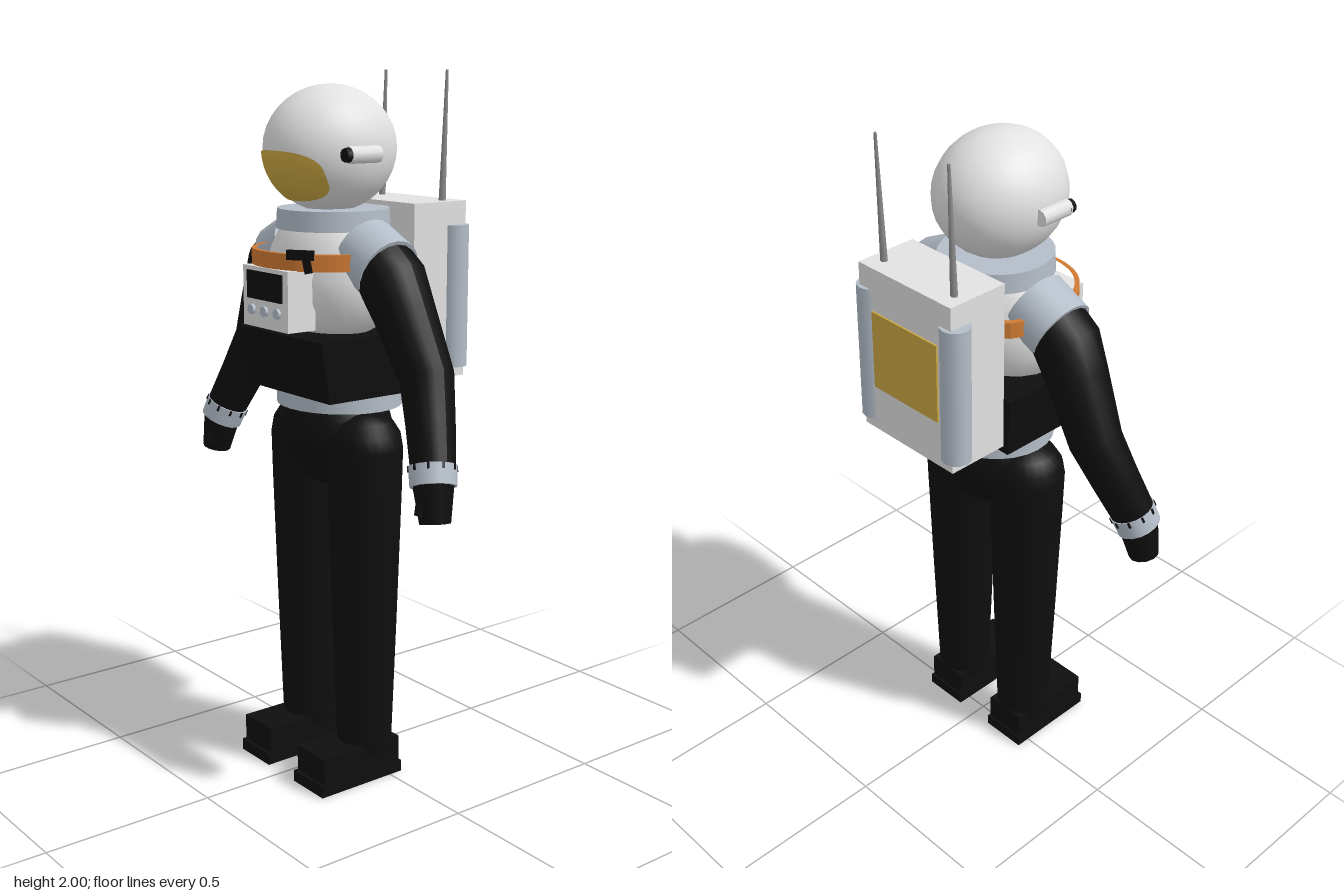
import * as THREE from 'three';

const mat = (name, color) => {
  const m = new THREE.MeshStandardMaterial({ color });
  m.name = name;
  return m;
};
const V = (x, y, z) => new THREE.Vector3(x, y, z);

// Smooth skin of round sections through a list of [x, y, z, radius]; the first direction can be given
function loft(stations, firstDir, sides = 18) {
  const pts = stations.map(s => V(s[0], s[1], s[2]));
  const pos = [], idx = [], n = sides + 1;
  pts.forEach((p, i) => {
    const t = i === 0 && firstDir ? firstDir.clone()
      : pts[Math.min(i + 1, pts.length - 1)].clone().sub(pts[Math.max(i - 1, 0)]);
    t.normalize();
    const u = V(0, 0, 1).cross(t).normalize();
    const v = t.clone().cross(u);
    for (let j = 0; j < n; j++) {
      const a = j / sides * Math.PI * 2, r = stations[i][3];
      const q = p.clone().addScaledVector(u, r * Math.cos(a)).addScaledVector(v, r * Math.sin(a));
      pos.push(q.x, q.y, q.z);
      if (i && j) {
        const c = i * n + j, b = c - n;
        idx.push(b - 1, b, c - 1, b, c, c - 1);
      }
    }
  });
  const g = new THREE.BufferGeometry();
  g.setAttribute('position', new THREE.Float32BufferAttribute(pos, 3));
  g.setIndex(idx);
  g.computeVertexNormals();
  return g;
}

export function createModel() {
  const root = new THREE.Group();
  root.name = 'astronaut';
  const white = mat('white shell', 0xe2e2e2);
  const grey = mat('blue grey trim', 0xb4bdc8);
  const black = mat('black fabric', 0x0e0e0e);
  const orange = mat('orange strap', 0xd07a33);
  const gold = mat('gold', 0xcca843);
  const metal = mat('dull metal', 0x8c8c8c);

  const add = (name, geo, material, x = 0, y = 0, z = 0) => {
    const m = new THREE.Mesh(geo, material);
    m.name = name;
    m.position.set(x, y, z);
    root.add(m);
    return m;
  };
  const box = (name, w, h, d, material, x, y, z) =>
    add(name, new THREE.BoxGeometry(w, h, d), material, x, y, z);
  const ball = (name, rx, ry, rz, material, x, y, z) =>
    add(name, new THREE.SphereGeometry(1, 24, 18).scale(rx, ry, rz), material, x, y, z);
  // Cylinder running from a to b
  const rod = (name, a, b, ra, rb, material, sides = 16) => {
    const d = b.clone().sub(a);
    const m = add(name, new THREE.CylinderGeometry(rb, ra, d.length(), sides), material);
    m.position.copy(a).add(b).multiplyScalar(0.5);
    m.quaternion.setFromUnitVectors(V(0, 1, 0), d.normalize());
    return m;
  };
  const lathe = pairs => new THREE.LatheGeometry(pairs.map(p => new THREE.Vector2(p[0], p[1])), 24);

  // Helmet and neck ring
  const H = V(0.17, 0.172, 0.191), hy = 1.792, hz = 0.06;
  ball('helmet', H.x, H.y, H.z, white, 0, hy, hz);
  add('neckRing', new THREE.CylinderGeometry(0.155, 0.158, 0.055, 28), grey, 0, 1.605, 0.05);

  // Visor: rounded patch laid just over the helmet
  const visor = new THREE.RingGeometry(0.001, 1, 32, 8);
  const vp = visor.attributes.position;
  for (let i = 0; i < vp.count; i++) {
    const a = Math.atan2(vp.getY(i), vp.getX(i)), r = Math.hypot(vp.getX(i), vp.getY(i));
    const sq = c => Math.sign(c) * Math.pow(Math.abs(c), 0.7);
    const y = -0.067 + 0.067 * r * sq(Math.sin(a));
    const x = 0.125 * r * sq(Math.cos(a)) * (1 + (y + 0.067) * 1.2);
    const z = H.z * Math.sqrt(Math.max(0, 1 - (x / H.x) ** 2 - (y / H.y) ** 2));
    vp.setXYZ(i, x * 1.015, y * 1.015, z * 1.015 + 0.001);
  }
  visor.computeVertexNormals();
  add('visor', visor, gold, 0, hy, hz);

  // Chest, abdomen, waist ring and pelvis
  const chest = lathe([[0.01, 1.29], [0.13, 1.3], [0.185, 1.33], [0.211, 1.39], [0.213, 1.45],
    [0.195, 1.52], [0.165, 1.575], [0.13, 1.605], [0.01, 1.61]]);
  add('chest', chest.scale(1, 1, 0.76), white, 0, 0, 0.06);
  const abdomen = new THREE.BoxGeometry(0.4, 0.17, 0.335);
  const ap = abdomen.attributes.position;
  for (let i = 0; i < ap.count; i++) {
    if (ap.getY(i) < 0) ap.setXYZ(i, ap.getX(i) * 0.96, ap.getY(i), Math.min(ap.getZ(i), 0.135));
  }
  abdomen.computeVertexNormals();
  add('abdomen', abdomen, black, 0, 1.215, 0.073);
  add('waistRing', new THREE.CylinderGeometry(0.187, 0.187, 0.045, 28).scale(1, 1, 0.92),
    [grey, grey, white], 0, 1.108, 0.03);
  ball('pelvis', 0.17, 0.16, 0.152, black, 0, 1.005, 0.037);

  // Chest control panel
  box('controlPanel', 0.21, 0.165, 0.09, white, 0, 1.4, 0.235);
  box('screen', 0.162, 0.076, 0.006, black, 0, 1.433, 0.282);
  for (const x of [-0.06, 0, 0.06]) {
    rod('knob', V(x, 1.365, 0.275), V(x, 1.365, 0.289), 0.014, 0.014, grey, 12);
  }

  // Strap around the chest, with buckle
  const half = [[0.09, 0.258], [0.15, 0.215], [0.198, 0.14], [0.205, 0.02], [0.165, -0.093]];
  const loop = [[0, 0.276], ...half, ...half.slice().reverse().map(p => [-p[0], p[1]])];
  const outline = k => new THREE.CatmullRomCurve3(
    loop.map(p => V(p[0] * k, 0.08 + (p[1] - 0.08) * k, 0)), true).getPoints(48)
    .map(p => new THREE.Vector2(p.x, p.y));
  const strap = new THREE.Shape(outline(1));
  strap.holes.push(new THREE.Path(outline(0.93)));
  add('strap', new THREE.ExtrudeGeometry(strap, { depth: 0.045, bevelEnabled: false }).rotateX(Math.PI / 2),
    orange, 0, 1.526, 0);
  box('buckle', 0.075, 0.026, 0.014, black, 0.115, 1.525, 0.246).rotation.y = 0.6;
  const tail = box('buckleTail', 0.02, 0.055, 0.014, black, 0.132, 1.505, 0.237);
  tail.rotation.set(0, 0.7, 0.2);

  // Backpack
  box('backpack', 0.35, 0.495, 0.187, white, 0, 1.398, -0.188);
  box('backPanel', 0.25, 0.23, 0.008, gold, 0, 1.405, -0.283);

  for (const s of [1, -1]) {
    // Tanks and antennas
    add('tank', new THREE.CylinderGeometry(0.042, 0.042, 0.4, 12), grey, s * 0.16, 1.38, -0.253);
    rod('antenna', V(s * 0.133, 1.64, -0.23), V(s * 0.133, 2, -0.242), 0.01, 0.004, metal, 8);

    // Helmet lamps
    rod('lamp', V(s * 0.172, 1.783, 0.03), V(s * 0.172, 1.783, 0.13), 0.023, 0.023, white, 10);
    rod('lampLens', V(s * 0.174, 1.783, 0.122), V(s * 0.174, 1.783, 0.145), 0.021, 0.018, black, 10);

    // Shoulder cuff and arm
    rod('shoulderCuff', V(s * 0.14, 1.525, 0.05), V(s * 0.243, 1.478, 0.05), 0.096, 0.094, grey, 20);
    add('arm', loft([[s * 0.225, 1.486, 0.05, 0.088], [s * 0.26, 1.455, 0.05, 0.093],
      [s * 0.305, 1.375, 0.046, 0.085], [s * 0.388, 1.215, 0.037, 0.074],
      [s * 0.44, 1.1, 0.067, 0.066], [s * 0.487, 0.995, 0.097, 0.06]], V(s * 0.9, -0.42, 0)), black);

    // Wrist cuff with dark ticks
    const w0 = V(s * 0.481, 1.005, 0.094), w1 = V(s * 0.5, 0.955, 0.107);
    const cuff = rod('wristCuff', w0, w1, 0.064, 0.062, grey, 16);
    for (let i = 0; i < 10; i++) {
      const a = i / 10 * Math.PI * 2;
      const tick = new THREE.Mesh(new THREE.BoxGeometry(0.006, 0.016, 0.006), black);
      tick.name = 'cuffTick';
      tick.position.set(Math.sin(a) * 0.063, -0.019, Math.cos(a) * 0.063);
      tick.rotation.y = a;
      cuff.add(tick);
    }

    // Glove
    rod('glove', V(s * 0.497, 0.965, 0.105), V(s * 0.518, 0.862, 0.115), 0.056, 0.042, black, 12);
    rod('thumb', V(s * 0.497, 0.94, 0.135), V(s * 0.502, 0.885, 0.156), 0.02, 0.014, black, 8);

    // Leg
    add('leg', lathe([[0.075, 0.08], [0.08, 0.13], [0.093, 0.5], [0.104, 0.85], [0.107, 0.98],
      [0.1, 1.02], [0.078, 1.055], [0.04, 1.075], [0.001, 1.08]]), black, s * 0.134, 0, 0.043);

    // Boot
    box('bootUpper', 0.128, 0.08, 0.27, black, s * 0.133, 0.071, 0.1);
    box('bootSole', 0.138, 0.034, 0.286, black, s * 0.133, 0.017, 0.102);
  }
  return root;
}
